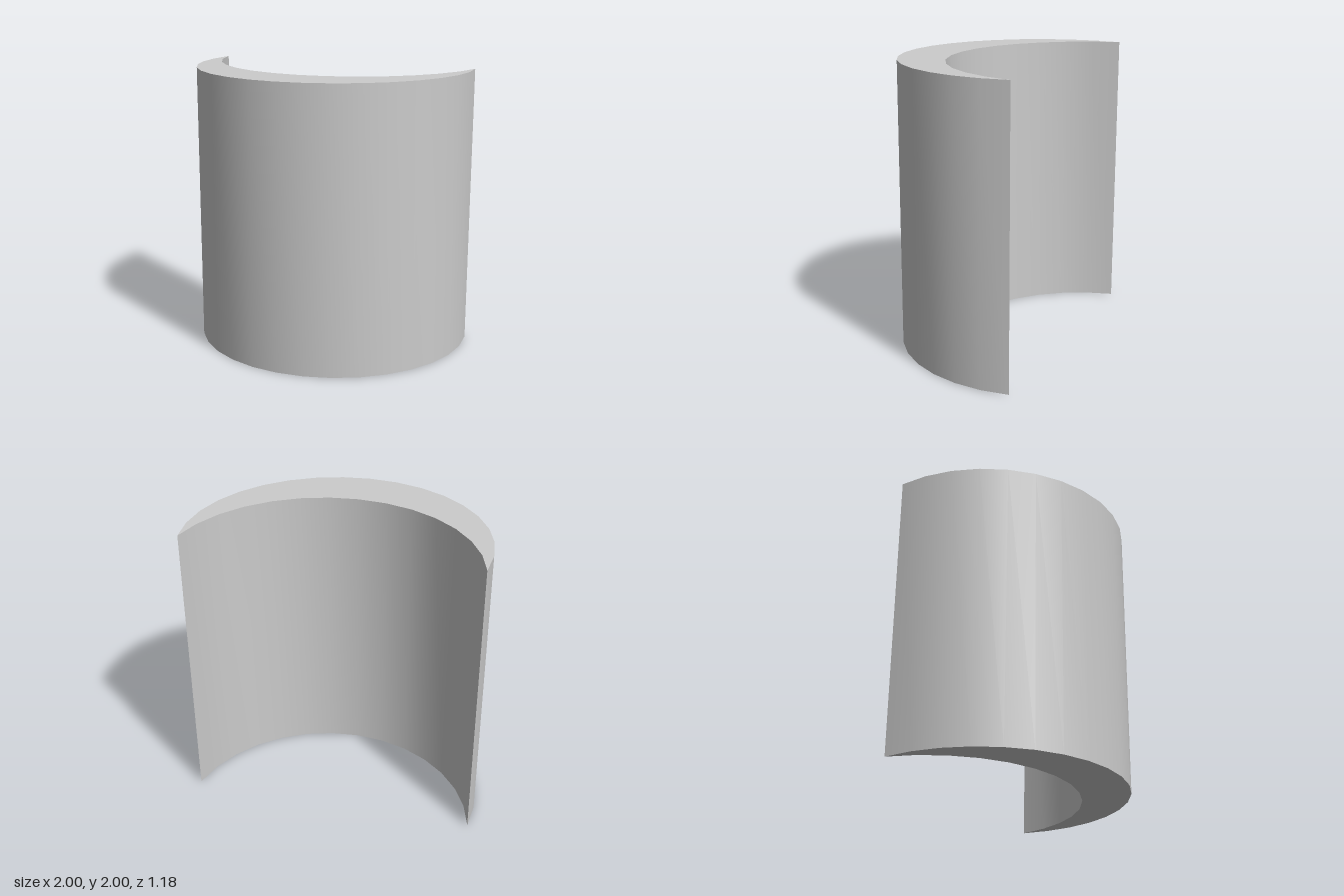
import * as THREE from 'three';
import { toCreasedNormals } from 'three/addons/utils/BufferGeometryUtils.js';

const HEIGHT = 2;
const RADIUS = 1;
const OFFSET = 0.364; // distance between the outer circle and the equal circle cut from it
const CENTER = (OFFSET / 2 - RADIUS) / 2; // z of the outer circle, so the crescent is centred

// Points along an arc, with angles measured from +z; shape y is -z
function arc(centerZ, from, to, segments) {
  const points = [];
  for (let i = 0; i <= segments; i++) {
    const a = from + (to - from) * i / segments;
    points.push(new THREE.Vector2(RADIUS * Math.sin(a), -(centerZ + RADIUS * Math.cos(a))));
  }
  return points;
}

export function createModel() {
  const group = new THREE.Group();
  group.name = 'crescentColumn';

  // Both arcs meet at the tips, where the two circles cross
  const innerTip = Math.acos(OFFSET / 2 / RADIUS);
  const outerTip = Math.PI - innerTip;
  const outer = arc(CENTER, -outerTip, outerTip, 18);
  const inner = arc(CENTER - OFFSET, innerTip, -innerTip, 14).slice(1, -1);
  const outline = new THREE.Shape([...outer, ...inner]);

  // Crescent raised to full height, smooth walls with sharp rims and tips
  const solid = new THREE.ExtrudeGeometry(outline, { depth: HEIGHT, bevelEnabled: false });
  solid.rotateX(-Math.PI / 2);
  const wall = new THREE.Mesh(
    toCreasedNormals(solid, Math.PI / 6),
    new THREE.MeshStandardMaterial({ color: 0xcccccc })
  );
  wall.name = 'crescentWall';
  group.add(wall);
  return group;
}
